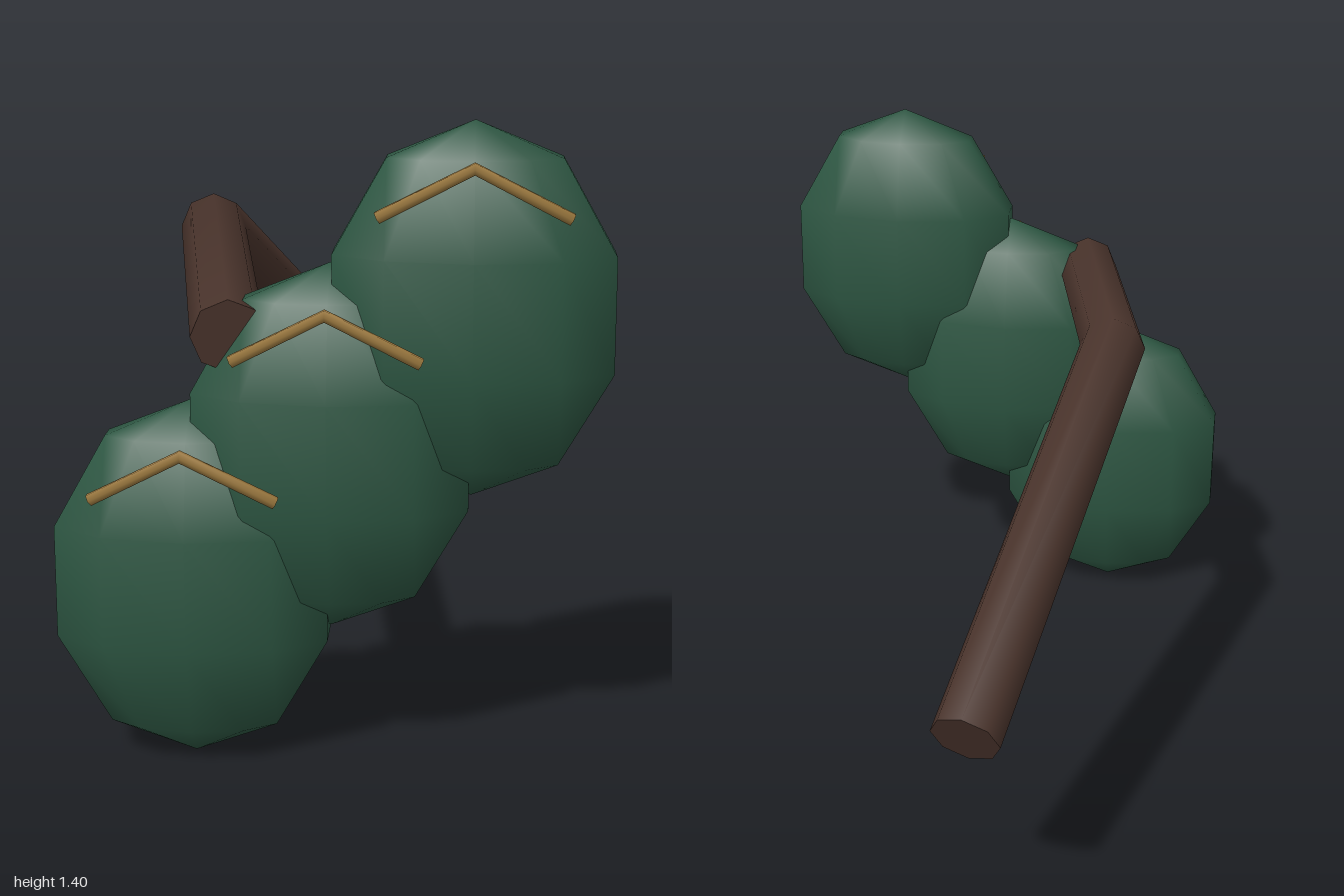
import * as THREE from 'three';

const green = new THREE.MeshStandardMaterial({ color: 0x2d5642 });
green.name = 'leafGreen';
const brown = new THREE.MeshStandardMaterial({ color: 0x4a342c });
brown.name = 'barkBrown';
const gold = new THREE.MeshStandardMaterial({ color: 0x97753c });
gold.name = 'gold';

// A path of three points with one sharp bend, mitred at the middle
class BentPath extends THREE.Curve {
  constructor(points) {
    super();
    this.points = points.map((p) => new THREE.Vector3(...p));
    const [a, b, c] = this.points;
    this.first = b.clone().sub(a).normalize();
    this.second = c.clone().sub(b).normalize();
  }
  getPoint(t) {
    const [a, b, c] = this.points;
    return t < 0.5 ? a.clone().lerp(b, t * 2) : b.clone().lerp(c, t * 2 - 1);
  }
  getPointAt(t) {
    return this.getPoint(t);
  }
  getTangentAt(t) {
    if (t < 0.49) return this.first.clone();
    if (t > 0.51) return this.second.clone();
    return this.first.clone().add(this.second).normalize();
  }
}

// Round bar along a bent path, closed with a flat cap at each end
function bentBar(name, points, radius, sides, material) {
  const group = new THREE.Group();
  group.name = name;
  const path = new BentPath(points);
  const tube = new THREE.TubeGeometry(path, 2, radius, sides, false);
  const bar = new THREE.Mesh(tube, material);
  bar.name = name + 'Bar';
  group.add(bar);

  const pos = tube.attributes.position;
  [0, 2].forEach((ring) => {
    const center = path.points[ring];
    const normal = ring === 0 ? path.first.clone().negate() : path.second;
    const cap = new THREE.CircleGeometry(radius, sides);
    // Line the cap's first corner up with the tube's first corner
    const u = new THREE.Vector3().fromBufferAttribute(pos, ring * (sides + 1)).sub(center).normalize();
    const v = new THREE.Vector3().crossVectors(normal, u);
    cap.applyMatrix4(new THREE.Matrix4().makeBasis(u, v, normal).setPosition(center));
    const mesh = new THREE.Mesh(cap, material);
    mesh.name = name + 'Cap';
    group.add(mesh);
  });
  return group;
}

export function createModel() {
  const model = new THREE.Group();
  model.name = 'leafyBranch';

  // Bent branch running from the leaves to the back
  model.add(bentBar('branch', [
    [-0.21, 0.955, 0.87],
    [-0.347, 1.05, 0.03],
    [-0.13, 0.535, -0.965],
  ], 0.08, 8, brown));

  // Three flattened leaf pads in a rising row, each with a gold chevron
  const padGeometry = new THREE.SphereGeometry(1, 10, 5);
  padGeometry.rotateY(Math.PI / 2);
  padGeometry.scale(0.326, 0.401, 0.15);
  for (let i = -1; i <= 1; i++) {
    const x = i * 0.3;
    const y = 0.703 + i * 0.3;
    const pad = new THREE.Mesh(padGeometry, green);
    pad.name = 'leafPad';
    pad.position.set(x, y, 0.812);
    model.add(pad);

    model.add(bentBar('chevron', [
      [x - 0.195, y + 0.219, 0.963],
      [x, y + 0.322, 0.987],
      [x + 0.195, y + 0.219, 0.963],
    ], 0.014, 6, gold));
  }
  return model;
}
